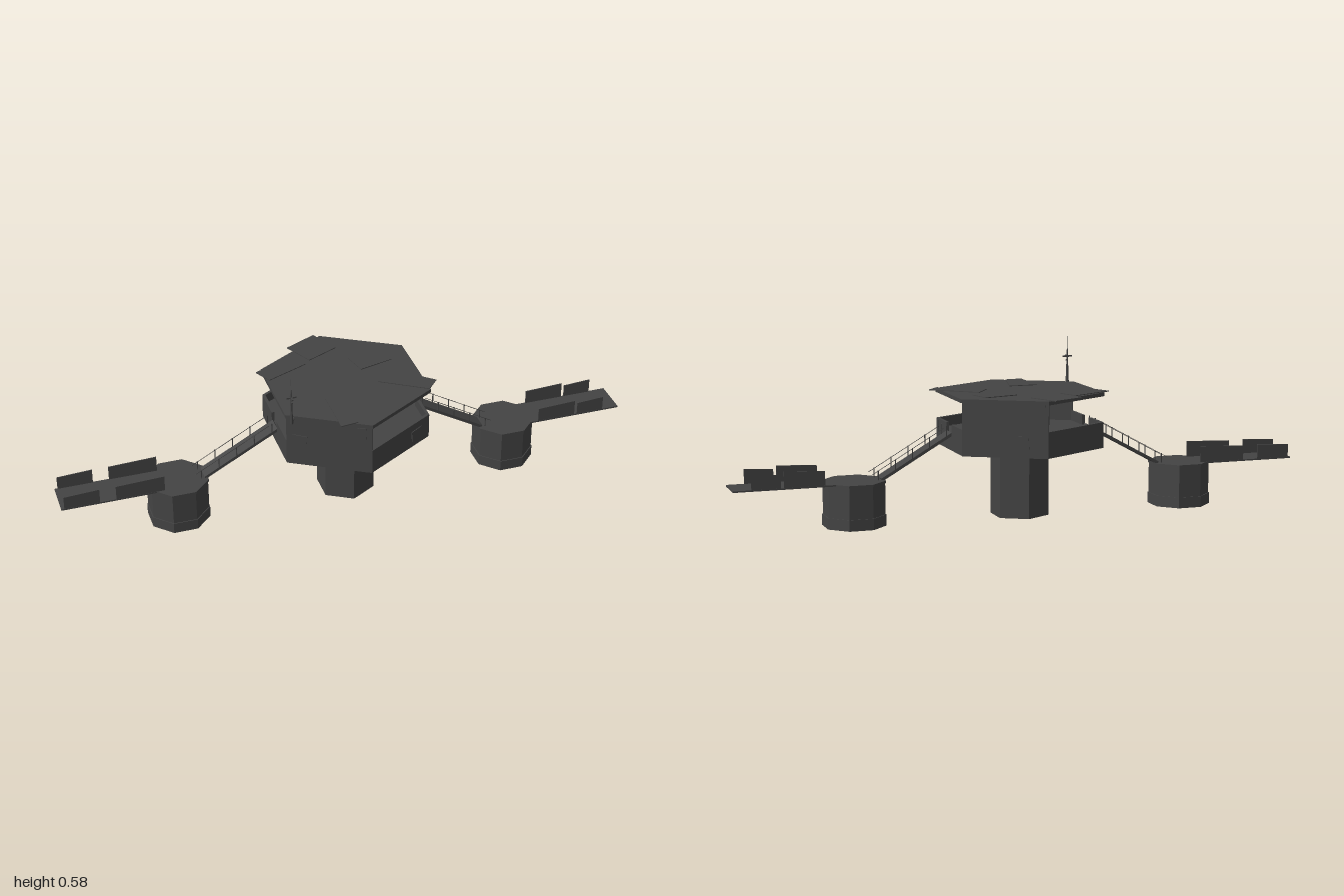
import * as THREE from 'three';

const mat = new THREE.MeshStandardMaterial({ color: 0x444444, flatShading: true, side: THREE.DoubleSide });

export function createModel() {
  const model = new THREE.Group();
  const core = new THREE.Group();
  core.name = 'platform';
  core.position.z = 0.005;
  model.add(core);

  const add = (parent, name, geo, x = 0, y = 0, z = 0) => {
    const m = new THREE.Mesh(geo, mat);
    m.name = name;
    m.position.set(x, y, z);
    parent.add(m);
    return m;
  };
  const box = (parent, name, w, h, d, x, y, z) => add(parent, name, new THREE.BoxGeometry(w, h, d), x, y, z);
  // upright prism between two heights
  const prism = (parent, name, sides, rBottom, rTop, y0, y1, x = 0, open = false) =>
    add(parent, name, new THREE.CylinderGeometry(rTop, rBottom, y1 - y0, sides, 1, open), x, (y0 + y1) / 2, 0);

  // Central hexagonal column with flared collar
  prism(core, 'column', 6, 0.101, 0.101, 0, 0.416);
  prism(core, 'collar', 6, 0.103, 0.185, 0.218, 0.288, 0, true);

  // Hexagonal hull: floor, roof and six walls
  const R = 0.29, apothem = R * Math.cos(Math.PI / 6), thick = 0.01;
  prism(core, 'floor', 6, R - 0.008, R - 0.008, 0.284, 0.292);
  prism(core, 'roof', 6, 0.293, 0.293, 0.415, 0.428);
  const walls = [];
  for (let i = 0; i < 6; i++) {
    const side = new THREE.Group();
    side.name = 'wallSide';
    side.rotation.y = Math.PI / 6 + i * Math.PI / 3;
    core.add(side);
    walls.push(side);
    const zc = apothem - thick / 2;
    const full = i === 2 || i === 5, ramp = i === 1 || i === 4;
    if (full) box(side, 'fullWall', R, 0.18, thick, 0, 0.327, zc);
    else if (ramp) {
      // low wall with an entrance gap above the ramp head
      box(side, 'wallSkirt', R, 0.05, thick, 0, 0.263, zc);
      for (const s of [-1, 1]) box(side, 'lowWall', R / 2 - 0.03, 0.04, thick, s * (R / 4 + 0.015), 0.306, zc);
    } else box(side, 'lowWall', R, 0.088, thick, 0, 0.282, zc);
  }

  // Patch plates on the walls: side, along, height, width, tall, tilt
  for (const [i, u, y, w, h, tilt] of [
    [1, -0.125, 0.302, 0.025, 0.038, 0], [2, 0.06, 0.282, 0.04, 0.055, 0.06],
    [2, 0.07, 0.37, 0.13, 0.09, 0], [5, 0.11, 0.39, 0.03, 0.04, 0.05],
    [5, -0.1, 0.335, 0.05, 0.035, -0.08], [0, 0.08, 0.28, 0.05, 0.04, 0.05],
  ]) box(walls[i], 'wallPatch', w, h, 0.003, u, y, apothem + 0.001).rotation.z = tilt;

  // Loose plates on the roof, some overhanging the rim
  const plates = [
    [[-0.275, -0.13], [-0.245, -0.07], [-0.1, -0.13], [-0.13, -0.2]],
    [[-0.13, -0.25], [-0.02, -0.302], [0.03, -0.2], [-0.08, -0.15]],
    [[0.29, 0.1], [0.25, 0.145], [0.1, 0.05], [0.15, -0.02]],
    [[-0.1, 0.268], [-0.04, 0.262], [0.0, 0.1], [-0.1, 0.1]],
    [[0.05, -0.12], [0.17, -0.15], [0.19, -0.07], [0.07, -0.04]],
  ];
  for (const p of plates) {
    const shape = new THREE.Shape(p.map(([x, z]) => new THREE.Vector2(x, -z)));
    const geo = new THREE.ExtrudeGeometry(shape, { depth: 0.003, bevelEnabled: false });
    geo.rotateX(-Math.PI / 2);
    add(core, 'roofPlate', geo, 0, 0.4275, 0);
  }

  // Antenna on the roof corner
  const mast = new THREE.Group();
  mast.name = 'antenna';
  mast.position.set(-0.242, 0, 0.18);
  core.add(mast);
  prism(mast, 'mastBase', 6, 0.006, 0.005, 0.415, 0.45);
  prism(mast, 'mast', 6, 0.004, 0.003, 0.45, 0.53);
  prism(mast, 'mastTip', 6, 0.003, 0.001, 0.53, 0.545);
  prism(mast, 'whip', 4, 0.0007, 0.0007, 0.545, 0.585);
  box(mast, 'crossbarUpper', 0.005, 0.005, 0.027, 0, 0.515, 0.004);
  box(mast, 'crossbarSide', 0.034, 0.005, 0.005, 0, 0.515, 0);
  box(mast, 'crossbarLower', 0.005, 0.004, 0.014, 0, 0.5, 0.004);
  box(mast, 'mastBracket', 0.008, 0.008, 0.04, 0.008, 0.42, -0.015).rotation.y = -0.5;

  // Two wings: pod, landing deck with side panels, ramp with railings
  const wings = [
    { s: 1, pod: 0.583, panels: [[0.695, 0.832, 0.057], [0.842, 0.94, 0.052]] },
    { s: -1, pod: 0.595, panels: [[0.65, 0.815, 0.058], [0.87, 0.99, 0.053]] },
  ];
  for (const { s, pod, panels } of wings) {
    const wing = new THREE.Group();
    wing.name = s > 0 ? 'leftWing' : 'rightWing';
    core.add(wing);
    for (const [name, r, y0, y1] of [['podBase', 0.108, 0, 0.038], ['pod', 0.105, 0, 0.146], ['podCap', 0.108, 0.144, 0.152]])
      prism(wing, name, 8, r, r, y0, y1, s * pod).rotation.y = Math.PI / 8;

    box(wing, 'deck', 1 - pod, 0.005, 0.122, s * (1 + pod) / 2, 0.1495, -0.003);
    for (const [a, b, h] of panels) for (const z of [-1, 1]) {
      const geo = new THREE.BoxGeometry(b - a, h, 0.003);
      // top edge slopes slightly down toward one end
      const p = geo.attributes.position;
      for (let i = 0; i < p.count; i++) if (p.getY(i) > 0 && p.getX(i) < 0) p.setY(i, h / 2 - 0.006);
      add(wing, 'sidePanel', geo, s * (a + b) / 2, 0.15 + h / 2, -0.003 + z * 0.059);
    }

    // ramp frame: x runs up the slope from pod to hull
    const low = new THREE.Vector2(pod - 0.09, 0.152), high = new THREE.Vector2(0.247, 0.294);
    const len = low.distanceTo(high);
    const ramp = new THREE.Group();
    ramp.name = 'ramp';
    ramp.position.set(s * (low.x + high.x) / 2, (low.y + high.y) / 2, 0.002);
    ramp.rotation.z = -s * Math.atan2(high.y - low.y, low.x - high.x);
    wing.add(ramp);
    box(ramp, 'rampDeck', len, 0.01, 0.057, 0, 0, 0);
    for (const z of [-0.027, 0.027]) {
      box(ramp, 'handrail', len, 0.0015, 0.0015, s * 0.018, 0.033, z);
      for (let i = 0; i < 5; i++) {
        const u = (i / 4 - 0.5) * (len - 0.01);
        const post = box(ramp, 'railPost', 0.003, 0.038, 0.003, u + s * 0.009, 0.018, z);
        post.rotation.z = -ramp.rotation.z;
      }
    }
  }
  return model;
}
